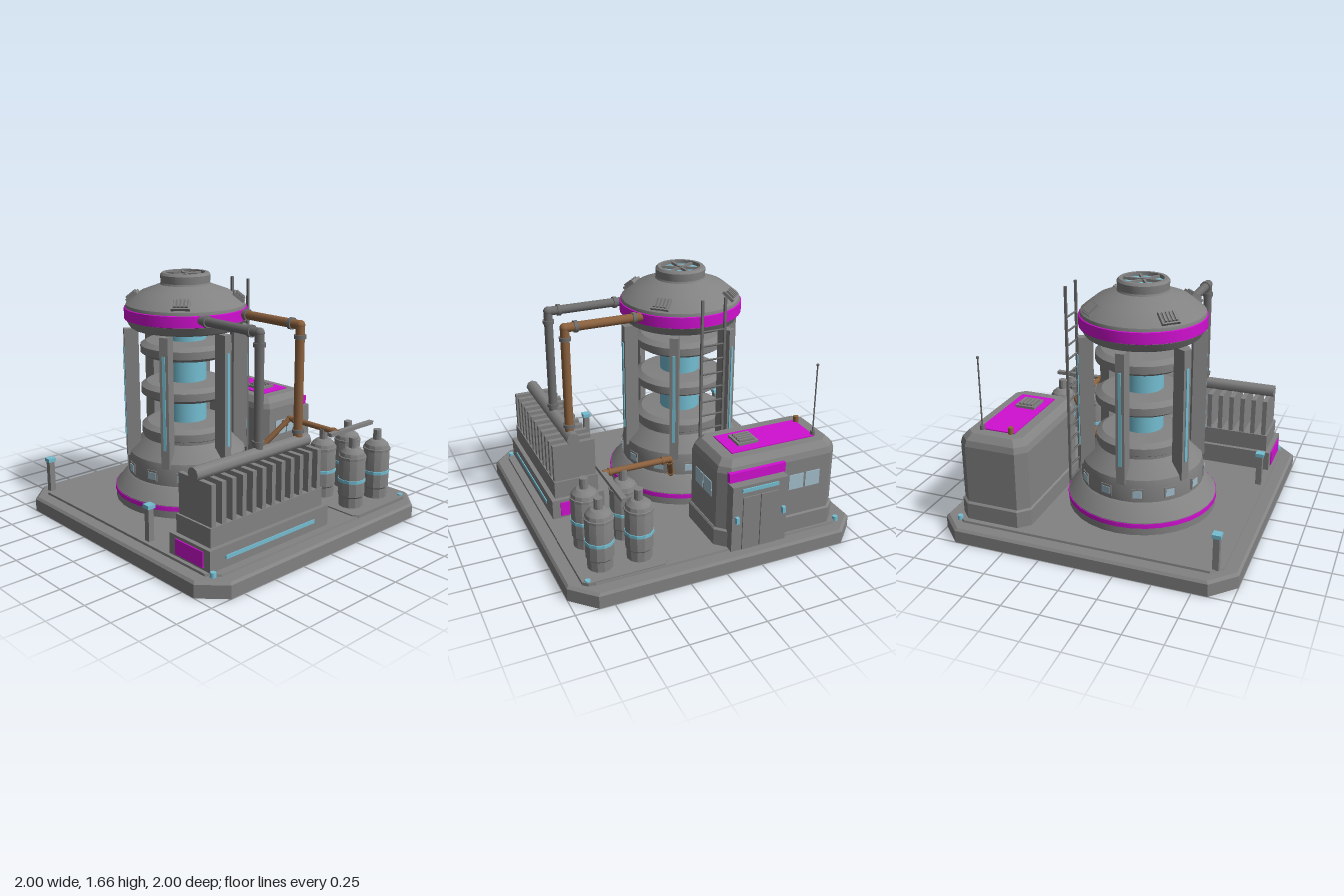
import * as THREE from 'three';
import { toCreasedNormals } from 'three/addons/utils/BufferGeometryUtils.js';

const mat = (name, color) => Object.assign(new THREE.MeshStandardMaterial({ color }), { name });
const gray = mat('concrete gray', 0x828282);
const steel = mat('steel gray', 0x6e6e6e);
const cyan = mat('glowing cyan', 0x74bed2);
const magenta = mat('magenta paint', 0xd010d0);
const copper = mat('copper brown', 0x8c623f);
const glass = mat('window glass', 0xa2bdcb);

function add(parent, name, geo, material, x = 0, y = 0, z = 0) {
  const m = new THREE.Mesh(geo, material);
  m.name = name;
  m.position.set(x, y, z);
  parent.add(m);
  return m;
}
function group(parent, name, x = 0, y = 0, z = 0) {
  const g = new THREE.Group();
  g.name = name;
  g.position.set(x, y, z);
  parent.add(g);
  return g;
}
// Box given by its min and max on each axis
function box(parent, name, material, [x0, x1], [y0, y1], [z0, z1]) {
  return add(parent, name, new THREE.BoxGeometry(x1 - x0, y1 - y0, z1 - z0), material,
    (x0 + x1) / 2, (y0 + y1) / 2, (z0 + z1) / 2);
}
function lathe(parent, name, material, pts, seg = 32) {
  const geo = new THREE.LatheGeometry(pts.map(p => new THREE.Vector2(...p)), seg);
  return add(parent, name, toCreasedNormals(geo, 0.4), material);
}
// Rectangle with cut corners, lofted through sections [y, halfX, halfZ, cut]
function loft(parent, name, material, sections, x = 0, z = 0) {
  const rings = sections.map(([y, a, b, c]) => [
    [a, b - c], [a, c - b], [a - c, -b], [c - a, -b], [-a, c - b], [-a, b - c], [c - a, b], [a - c, b],
  ].map(([px, pz]) => [px, y, pz]));
  const v = [];
  const tri = (...p) => p.forEach(q => v.push(...q));
  const top = rings[rings.length - 1], bottom = rings[0];
  for (let i = 0; i < 8; i++) {
    const j = (i + 1) % 8;
    for (let k = 0; k + 1 < rings.length; k++) {
      const lo = rings[k], hi = rings[k + 1];
      tri(lo[i], lo[j], hi[j]);
      tri(lo[i], hi[j], hi[i]);
    }
    if (i > 0 && i < 7) {
      tri(top[0], top[i], top[j]);
      tri(bottom[0], bottom[j], bottom[i]);
    }
  }
  const geo = new THREE.BufferGeometry();
  geo.setAttribute('position', new THREE.Float32BufferAttribute(v, 3));
  geo.computeVertexNormals();
  return add(parent, name, geo, material, x, 0, z);
}
function rod(parent, name, material, a, b, r, seg = 12) {
  const p = new THREE.Vector3(...a), d = new THREE.Vector3(...b).sub(p);
  const m = add(parent, name, new THREE.CylinderGeometry(r, r, d.length(), seg), material);
  m.position.copy(p).addScaledVector(d, 0.5);
  m.quaternion.setFromUnitVectors(new THREE.Vector3(0, 1, 0), d.normalize());
  return m;
}
// Pipe along points, with ball elbows and flanges near both ends of each run
function pipe(parent, name, material, pts, r) {
  const g = group(parent, name);
  for (let i = 0; i + 1 < pts.length; i++) {
    const a = new THREE.Vector3(...pts[i]), b = new THREE.Vector3(...pts[i + 1]);
    const dir = b.clone().sub(a).normalize();
    rod(g, 'pipeRun', material, pts[i], pts[i + 1], r);
    [[a, 2], [b, -2]].forEach(([p, s]) => {
      const c = p.clone().addScaledVector(dir, s * r);
      const e = c.clone().addScaledVector(dir, s * r * 0.4);
      rod(g, 'flange', material === copper && r > 0.025 ? steel : material, c.toArray(), e.toArray(), r * 1.3);
    });
    if (i > 0) add(g, 'elbow', new THREE.SphereGeometry(r * 1.05, 12, 8), material, ...pts[i]);
  }
}
// Slatted vent facing +z
function vent(parent, w, h) {
  box(parent, 'ventFrame', gray, [-w / 2, w / 2], [-h / 2, h / 2], [-0.02, 0.012]);
  box(parent, 'ventRecess', steel, [-w * 0.4, w * 0.4], [-h * 0.38, h * 0.38], [0, 0.015]);
  for (let i = 0; i < 4; i++) {
    const x = (i - 1.5) * w * 0.2;
    box(parent, 'ventSlat', gray, [x - w * 0.05, x + w * 0.05], [-h * 0.38, h * 0.38], [0, 0.024]);
  }
}

function buildTower(root) {
  const t = group(root, 'tower', -0.155, 0, -0.2);
  lathe(t, 'towerFoot', gray, [[0, 0.11], [0.5, 0.11], [0.5, 0.2], [0.485, 0.215], [0.425, 0.29], [0.41, 0.3],
    [0.41, 0.4], [0.4, 0.45], [0.3, 0.55], [0.3, 0.6], [0, 0.6]]);
  lathe(t, 'footStripe', magenta, [[0.498, 0.165], [0.505, 0.165], [0.505, 0.195], [0.498, 0.195]]);
  add(t, 'core', new THREE.CylinderGeometry(0.137, 0.137, 0.8, 32), cyan, 0, 0.95, 0);
  for (const y of [0.6, 0.88, 1.16]) {
    lathe(t, 'coreRing', gray, [[0.13, y - 0.06], [0.27, y - 0.05], [0.31, y - 0.025], [0.31, y + 0.025],
      [0.27, y + 0.05], [0.13, y + 0.06]]);
  }
  for (let i = 0; i < 6; i++) {
    const p = group(t, 'pillar');
    p.rotation.y = i * Math.PI / 3;
    box(p, 'pillarBeam', gray, [-0.029, 0.029], [0.42, 1.3], [0.325, 0.42]);
    box(p, 'pillarLight', cyan, [-0.01, 0.01], [0.55, 1.18], [0.42, 0.426]);
  }
  for (let i = 0; i < 12; i++) {
    const w = group(t, 'footWindow');
    w.rotation.y = (i + 0.5) * Math.PI / 6;
    box(w, 'footWindowFrame', gray, [-0.04, 0.04], [0.32, 0.395], [0.39, 0.414]);
    box(w, 'footWindowPane', glass, [-0.03, 0.03], [0.333, 0.382], [0.412, 0.418]);
  }
  // Dome and its fan
  lathe(t, 'dome', gray, [[0, 1.3], [0.36, 1.3], [0.375, 1.31], [0.405, 1.36], [0.405, 1.44], [0.4, 1.46], [0.3, 1.54],
    [0.17, 1.588], [0.165, 1.6], [0.168, 1.65], [0.155, 1.665], [0.132, 1.665], [0.132, 1.63], [0, 1.63]]);
  lathe(t, 'domeBand', magenta, [[0.4, 1.36], [0.413, 1.365], [0.413, 1.437], [0.4, 1.442]]);
  add(t, 'fanDisc', new THREE.CylinderGeometry(0.13, 0.13, 0.008, 32), cyan, 0, 1.637, 0);
  add(t, 'fanHub', new THREE.CylinderGeometry(0.022, 0.022, 0.03, 12), gray, 0, 1.65, 0);
  for (let i = 0; i < 3; i++) {
    add(t, 'fanSpoke', new THREE.BoxGeometry(0.265, 0.018, 0.014), gray, 0, 1.65, 0).rotation.y = i * Math.PI / 3;
  }
  for (let i = 0; i < 4; i++) {
    const a = Math.PI / 4 + i * Math.PI / 2;
    const v = group(t, 'domeVent', Math.sin(a) * 0.355, 1.503, Math.cos(a) * 0.355);
    v.rotation.set(-0.9, a, 0, 'YXZ');
    vent(v, 0.12, 0.09);
  }
}

function buildCondenser(root) {
  const c = group(root, 'condenser');
  box(c, 'condenserBase', gray, [-0.88, 0.13], [0.11, 0.25], [0.49, 0.855]);
  box(c, 'condenserBody', gray, [-0.85, 0.1], [0.25, 0.37], [0.52, 0.825]);
  box(c, 'condenserLight', cyan, [-0.76, 0], [0.165, 0.19], [0.855, 0.861]);
  for (const x of [-0.884, 0.134]) {
    box(c, 'condenserEndPanel', magenta, [x - 0.004, x + 0.004], [0.13, 0.23], [0.55, 0.8]);
  }
  for (let i = 0; i < 12; i++) {
    const x = -0.82 + i * 0.081;
    box(c, 'condenserFin', gray, [x - 0.016, x + 0.016], [0.37, 0.63], [0.53, 0.82]);
  }
  rod(c, 'condenserHeader', gray, [-0.855, 0.66, 0.68], [0.1, 0.66, 0.68], 0.045, 8);
  [[-0.33, steel], [0.02, copper]].forEach(([x, m]) =>
    pipe(c, 'steamPipe', m, [[x, 1.41, 0.14], [x, 1.41, 0.68], [x, 0.66, 0.68]], 0.03));
}

function buildTanks(root) {
  const g = group(root, 'tanks');
  loft(g, 'tankPad', gray, [[0.1, 0.275, 0.28, 0.03], [0.122, 0.275, 0.28, 0.03]], 0.625, 0.63);
  for (const x of [0.49, 0.75]) for (const z of [0.49, 0.75]) {
    const t = group(g, 'tank', x, 0, z);
    lathe(t, 'tankBody', gray, [[0, 0.115], [0.082, 0.115], [0.082, 0.19], [0.09, 0.2], [0.09, 0.47], [0.08, 0.5],
      [0.05, 0.525], [0.028, 0.53], [0.028, 0.6], [0, 0.6]], 12);
    lathe(t, 'tankBand', cyan, [[0.088, 0.295], [0.094, 0.297], [0.094, 0.318], [0.088, 0.32]], 12);
    lathe(t, 'tankHoop', gray, [[0.088, 0.455], [0.094, 0.458], [0.094, 0.475], [0.08, 0.48]], 12);
  }
  box(g, 'tankManifold', gray, [0.4, 0.845], [0.59, 0.615], [0.602, 0.638]);
  pipe(g, 'feedPipe', copper, [[0.24, 0.34, 0.045], [0.49, 0.6, 0.17], [0.49, 0.6, 0.625]], 0.02);
}

function buildHouse(root) {
  const h = group(root, 'controlHouse');
  const cx = 0.64, cz = -0.43;
  loft(h, 'houseSkirt', gray, [[0.1, 0.25, 0.44, 0.07], [0.225, 0.25, 0.44, 0.07], [0.235, 0.24, 0.43, 0.07]], cx, cz);
  loft(h, 'houseWalls', gray, [[0.23, 0.24, 0.425, 0.065], [0.63, 0.24, 0.425, 0.065], [0.67, 0.228, 0.413, 0.06],
    [0.7, 0.2, 0.385, 0.05], [0.71, 0.19, 0.375, 0.05]], cx, cz);
  box(h, 'roofPanel', magenta, [0.52, 0.77], [0.709, 0.717], [-0.73, -0.13]);
  const v = group(h, 'roofVent', cx, 0.722, -0.28);
  v.rotation.x = -Math.PI / 2;
  vent(v, 0.14, 0.145);
  rod(h, 'exhaustStub', copper, [0.545, 0.7, -0.73], [0.545, 0.755, -0.73], 0.018);
  rod(h, 'antennaBase', steel, [0.75, 0.7, -0.73], [0.75, 0.74, -0.73], 0.016);
  rod(h, 'antenna', steel, [0.75, 0.72, -0.73], [0.75, 1.2, -0.73], 0.005, 6);
  add(h, 'antennaTip', new THREE.SphereGeometry(0.01, 8, 6), steel, 0.75, 1.2, -0.73);
  // Windows on the front and the left-hand wall
  for (const s of [-1, 1]) {
    box(h, 'frontWindow', glass, [cx + s * 0.06 - 0.053, cx + s * 0.06 + 0.053], [0.425, 0.53], [-0.008, -0.001]);
    box(h, 'sideWindow', glass, [0.877, 0.885], [0.425, 0.53], [-0.602 + s * 0.06 - 0.053, -0.602 + s * 0.06 + 0.053]);
  }
  // Entrance porch
  box(h, 'porch', gray, [0.85, 0.94], [0.11, 0.57], [-0.445, -0.055]);
  box(h, 'porchSign', magenta, [0.87, 0.9], [0.583, 0.647], [-0.445, -0.05]);
  box(h, 'porchLight', cyan, [0.94, 0.948], [0.525, 0.55], [-0.375, -0.12]);
  for (const s of [-1, 1]) {
    const z = -0.25 + s * 0.063, lamp = -0.25 + s * 0.165;
    box(h, 'doorLeaf', gray, [0.93, 0.949], [0.115, 0.49], [z - 0.06, z + 0.06]);
    box(h, 'doorLamp', cyan, [0.935, 0.965], [0.32, 0.362], [lamp - 0.011, lamp + 0.011]);
  }
}

export function createModel() {
  const root = new THREE.Group();
  root.name = 'powerStation';
  loft(root, 'basePlate', gray, [[0, 1, 1, 0.15], [0.085, 1, 1, 0.15], [0.1, 0.985, 0.985, 0.147]]);
  loft(root, 'deck', gray, [[0.09, 0.91, 0.91, 0.07], [0.114, 0.905, 0.905, 0.07]]);
  buildTower(root);
  buildCondenser(root);
  buildTanks(root);
  buildHouse(root);

  // Ladder beside the tower
  const ladder = group(root, 'ladder');
  for (const z of [-0.28, -0.12]) box(ladder, 'ladderRail', steel, [0.338, 0.354], [0.11, 1.58], [z - 0.008, z + 0.008]);
  for (let i = 0; i < 13; i++) rod(ladder, 'rung', steel, [0.346, 0.2 + i * 0.0975, -0.28], [0.346, 0.2 + i * 0.0975, -0.12], 0.007, 6);

  // Lamp posts and deck lights
  for (const z of [-0.86, 0.27]) {
    box(root, 'lampPost', gray, [-0.88, -0.84], [0.11, 0.33], [z - 0.02, z + 0.02]);
    box(root, 'lampHead', cyan, [-0.888, -0.832], [0.33, 0.355], [z - 0.028, z + 0.028]);
  }
  for (const [x, z] of [[0.875, -0.875], [0.875, 0.875], [-0.875, 0.875]]) {
    add(root, 'deckLight', new THREE.CylinderGeometry(0.018, 0.02, 0.03, 12), cyan, x, 0.115, z);
  }
  return root;
}
